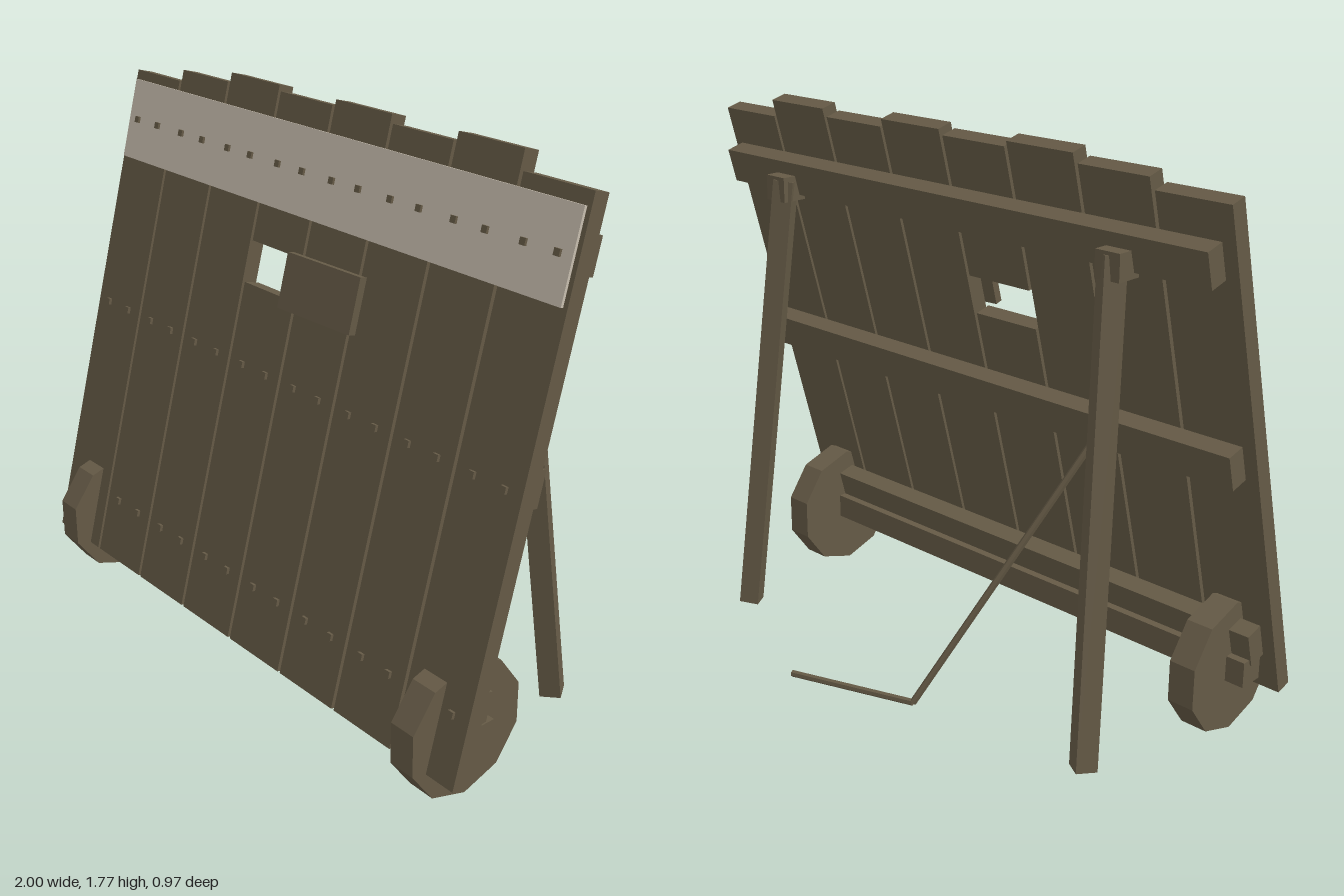
import * as THREE from 'three';

const wood = new THREE.MeshStandardMaterial({ color: 0x655a46 });
wood.name = 'weathered wood';
wood.flatShading = true;
const pale = new THREE.MeshStandardMaterial({ color: 0xc9bfb0 });
pale.name = 'pale band';

function box(parent, name, size, pos, material = wood) {
  const mesh = new THREE.Mesh(new THREE.BoxGeometry(...size), material);
  mesh.name = name;
  mesh.position.set(...pos);
  parent.add(mesh);
  return mesh;
}

// Straight bar between two points
function bar(parent, name, a, b, makeGeometry) {
  const from = new THREE.Vector3(...a), to = new THREE.Vector3(...b);
  const dir = to.clone().sub(from);
  const mesh = new THREE.Mesh(makeGeometry(dir.length()), wood);
  mesh.name = name;
  mesh.position.copy(from).add(to).multiplyScalar(0.5);
  mesh.quaternion.setFromUnitVectors(new THREE.Vector3(0, 1, 0), dir.normalize());
  parent.add(mesh);
}

export function createModel() {
  const model = new THREE.Group();
  model.name = 'wheeledShield';

  // Leaning panel: local y runs up the planks, local z is the front normal
  const panel = new THREE.Group();
  panel.name = 'panel';
  panel.position.set(0, 0.1175, 0.4025);
  panel.rotation.x = -THREE.MathUtils.degToRad(14.9);
  model.add(panel);

  const T = 0.054, W = 0.24;
  const lengths = [1.621, 1.658, 1.688, 1.67, 1.688, 1.662, 1.688, 1.631];
  const rows = [0.2, 0.836, 1.462];

  lengths.forEach((len, i) => {
    const x = -0.88 + (i * 1.76) / 7;
    // The fourth plank is cut through by the viewing slot
    const spans = i === 3 ? [[0, 1.082], [1.213, len]] : [[0, len]];
    for (const [a, b] of spans) box(panel, 'plank', [W, b - a, T], [x, (a + b) / 2, 0]);
    // Two nails per plank on each batten row
    rows.forEach((y, r) => {
      for (const dx of [-0.058, 0.058]) {
        box(panel, 'nail', [0.02, 0.02, 0.02], [x + dx, y, r === 2 ? 0.034 : 0.027]);
      }
    });
  });

  // Pale band across the top, battens across the back
  box(panel, 'topBand', [1.975, 0.259, 0.009], [-0.002, 1.461, 0.0315], pale);
  for (const y of rows) box(panel, 'backBatten', [1.92, 0.11, 0.062], [-0.005, y, -0.069]);

  // Shutter beside the slot, hanging slightly ajar
  box(panel, 'slotShutter', [0.3, 0.168, 0.026], [0.15, 1.149, 0.069]).rotation.y = 0.07;

  // Axle and ten-sided wheels
  box(model, 'axle', [1.92, 0.082, 0.084], [0, 0.21, 0.279]);
  for (const s of [-1, 1]) {
    const geo = new THREE.CylinderGeometry(0.212, 0.212, 0.088, 10);
    geo.rotateY(Math.PI / 2);
    geo.rotateZ(Math.PI / 2);
    const wheel = new THREE.Mesh(geo, wood);
    wheel.name = 'wheel';
    wheel.position.set(s * 0.853, 0.2025, 0.277);
    model.add(wheel);

    // Splayed rear leg with its pivot block
    bar(model, 'rearLeg', [s * 0.665, 1.5, -0.084], [s * 0.75, 0.024, -0.241],
      (h) => new THREE.BoxGeometry(0.065, h, 0.065));
    box(model, 'legPivot', [0.084, 0.08, 0.085], [s * 0.675, 1.475, -0.077]);
  }

  // Bent pull rod hanging from the middle batten
  const rod = (h) => new THREE.CylinderGeometry(0.011, 0.011, h, 6);
  const elbow = [-0.17, 0.046, -0.355];
  bar(model, 'pullRod', [-0.5, 0.9, 0.1], elbow, rod);
  bar(model, 'pullRodHandle', elbow, [0.25, 0.03, -0.48], rod);

  return model;
}
